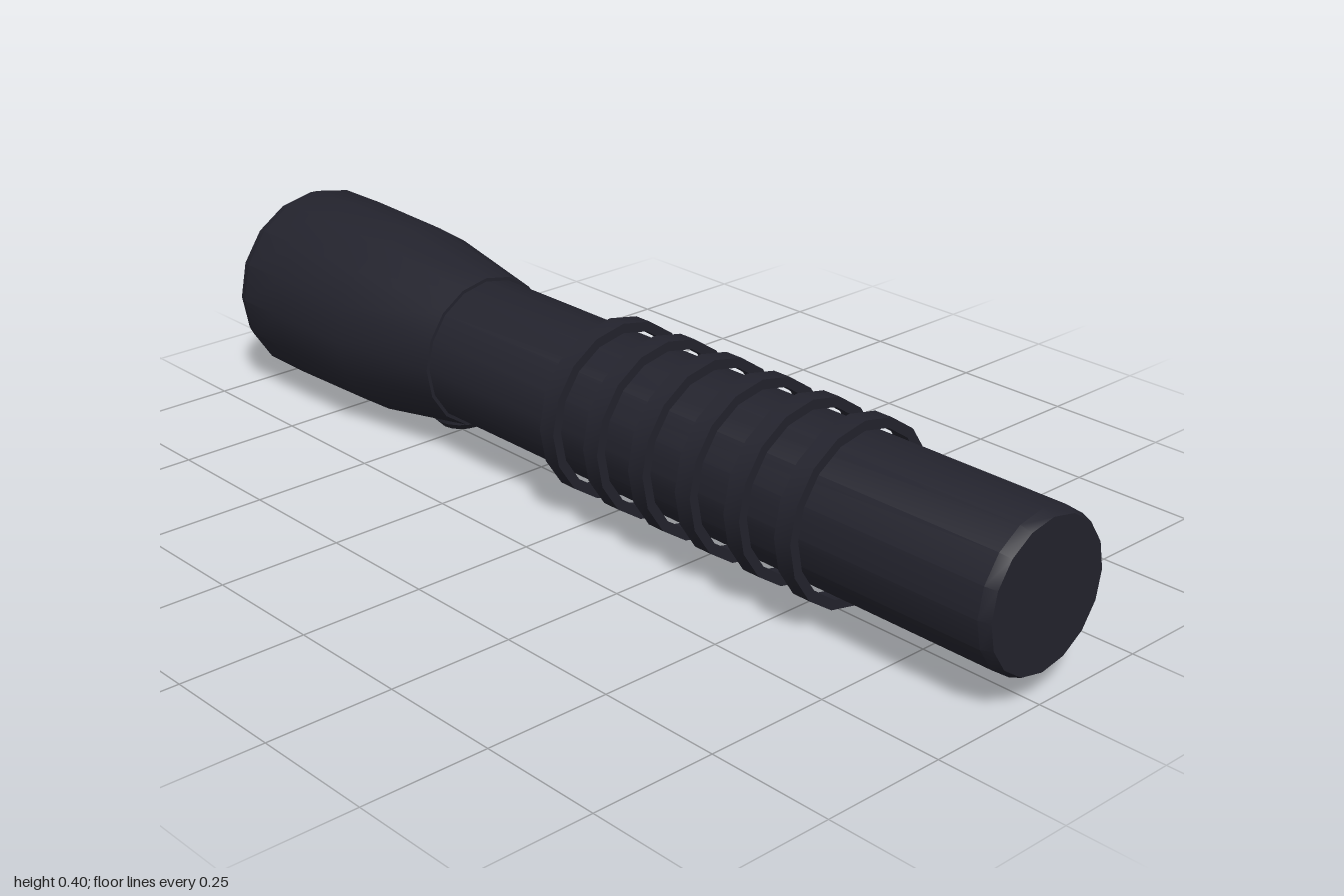
import * as THREE from 'three';
import { toCreasedNormals } from 'three/addons/utils/BufferGeometryUtils.js';

const SIDES = 16;
const AXIS_Y = 0.2;

export function createModel() {
  const group = new THREE.Group();
  const casing = new THREE.MeshStandardMaterial({ color: 0x23232d });
  casing.name = 'dark casing';
  const silver = new THREE.MeshStandardMaterial({ color: 0xd3dfe2 });
  silver.name = 'silver reflector';
  const glass = new THREE.MeshStandardMaterial({ color: 0xbcc5ce });
  glass.name = 'pale lens';

  // Turns [radius, z] pairs, listed from back to front, around the torch's axis
  function turned(name, profile, material, sides = SIDES) {
    const points = profile.map(([r, z]) => new THREE.Vector2(r, z));
    const lathe = new THREE.LatheGeometry(points, sides).rotateX(Math.PI / 2);
    const mesh = new THREE.Mesh(toCreasedNormals(lathe, 0.5), material);
    mesh.name = name;
    mesh.position.y = AXIS_Y;
    group.add(mesh);
    return mesh;
  }

  // Handle tube with a chamfered end cap
  turned('handle', [
    [0.148, -0.45], [0.148, 0.978], [0.14, 1], [0, 1],
  ], casing);

  // Flared head
  turned('head', [
    [0.184, -1], [0.19, -1], [0.199, -0.975], [0.2, -0.86],
    [0.195, -0.65], [0.155, -0.41], [0.14, -0.41],
  ], casing);

  // Recessed reflector and lens
  turned('reflector', [[0.146, -0.975], [0.184, -1]], silver);
  turned('lens', [[0, -0.975], [0.146, -0.975]], glass);

  // Grip rings, standing slightly clear of the handle
  for (let i = 0; i < 6; i++) {
    const ring = turned('gripRing' + (i + 1), [
      [0.156, -0.019], [0.175, -0.019], [0.175, 0.019], [0.156, 0.019], [0.156, -0.019],
    ], casing);
    ring.position.z = -0.026 + i * 0.121;
  }

  // Chamfered push button under the head
  const button = turned('button', [
    [0.06, -0.05], [0.06, 0.015], [0.045, 0.03], [0, 0.03],
  ], casing);
  button.rotation.x = Math.PI / 2;
  button.position.set(0, 0.05, -0.5);

  return group;
}
